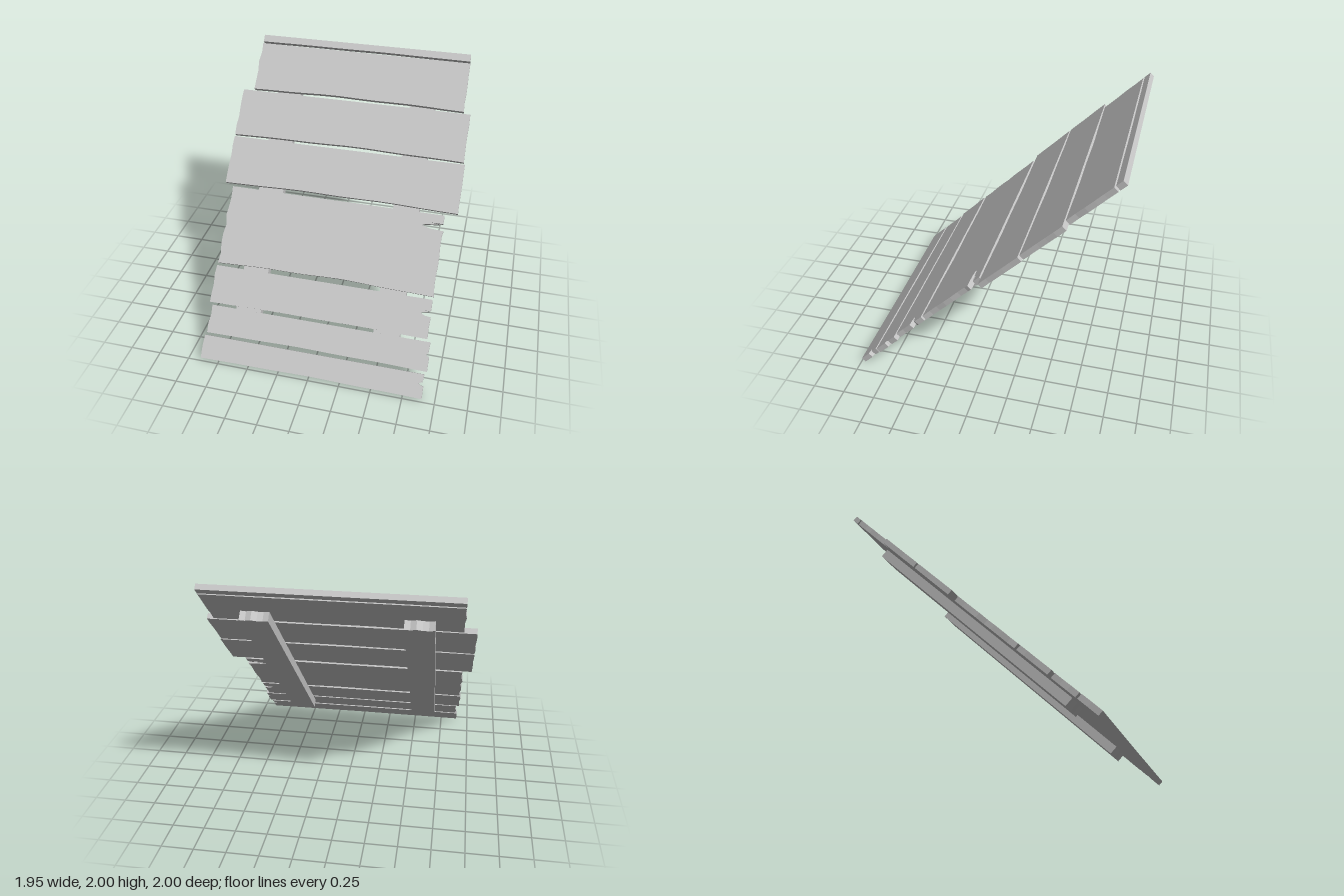
import * as THREE from 'three';

const wood = new THREE.MeshStandardMaterial({ color: 0xc4c4c4 });
wood.name = 'plain grey wood';

const THICK = 0.042;

// Height of a front-face point -> distance along the 45 degree slope
const along = (y) => Math.SQRT2 * (y - 1.015);

// Flat-sided slab from a counter-clockwise outline, occupying z0 .. z0 + depth
function slab(name, points, z0, depth) {
  const shape = new THREE.Shape(points.map(([x, y]) => new THREE.Vector2(x, y)));
  const geometry = new THREE.ExtrudeGeometry(shape, { depth, bevelEnabled: false });
  geometry.translate(0, 0, z0);
  const mesh = new THREE.Mesh(geometry, wood);
  mesh.name = name;
  return mesh;
}

// Plank with a hollowed, rippled lower edge, ragged ends and an optional split
// in its left (+x) end; bottom and top are heights of the front face
function plank(name, [x0, x1], [bottom, top], { rise = 0.01, rag = 0.004, split } = {}) {
  const outline = [];
  const height = top - bottom;

  // Lower edge
  const cuts = 12;
  for (let i = 0; i <= cuts; i++) {
    const f = i / cuts;
    const ripple = 0.25 * Math.sin(f * 15 + bottom * 9);
    outline.push([x0 + f * (x1 - x0), bottom + rise * Math.sin(f * Math.PI) * (1 + ripple)]);
  }

  // Ragged +x end, with the split cut in where it belongs
  const steps = Math.max(2, Math.round(height / 0.06));
  const ragged = (i) => rag * Math.sin(i * 2.3 + bottom * 5);
  let end = [];
  for (let i = 1; i < steps; i++) end.push([x1 - Math.abs(ragged(i)), bottom + (i / steps) * height]);
  if (split) {
    const { y, half, depth } = split;
    end = end.filter((p) => Math.abs(p[1] - y) > half * 1.3);
    end.push([x1, y - half], [x1 - depth * 0.65, y - half * 0.7], [x1 - depth, y - half * 0.1],
      [x1 - depth * 0.97, y + half * 0.3], [x1 - depth * 0.65, y + half], [x1 - depth * 0.2, y + half * 0.7], [x1 - 0.01, y + half]);
    end.sort((a, b) => a[1] - b[1]);
    // Order the split's mouth from its lower lip, round the tip, to its upper lip
  }
  outline.push(...end);

  // Straight upper edge, then the ragged -x end
  outline.push([x1 - rag, top], [x0, top]);
  for (let i = steps - 1; i > 0; i--) outline.push([x0 + ragged(i + 1), bottom + (i / steps) * height]);

  return slab(name, outline.map(([x, y]) => [x, along(y)]), -THICK / 2, THICK);
}

// Backing beam with unevenly sawn ends
function beam(name, x0) {
  const width = 0.21, half = 1.08, depth = 0.071, steps = 5;
  const lower = [], upper = [];
  for (let i = 0; i <= steps; i++) {
    const inset = 0.008 * (1 + Math.sin(i * 2.2));
    lower.push([x0 + (i / steps) * width, -half + inset]);
    upper.push([x0 + (1 - i / steps) * width, half - inset]);
  }
  return slab(name, [...lower, ...upper], -THICK / 2 - depth, depth);
}

export function createModel() {
  const group = new THREE.Group();
  group.name = 'plankPanel';

  // Everything is laid flat, then leaned back by 45 degrees
  const panel = new THREE.Group();
  panel.name = 'leaningPanel';
  panel.rotation.x = -Math.PI / 4;
  panel.position.y = 1;
  group.add(panel);

  // Planks, from the top of the slope down
  panel.add(
    plank('topPlank', [-0.885, 0.89], [1.957, 2], { rise: 0.003, rag: 0.001 }),
    plank('secondPlank', [-0.885, 0.898], [1.653, 1.946], { rag: 0.006 }),
    plank('thirdPlank', [-0.975, 0.956], [1.358, 1.641], { rag: 0.004 }),
    plank('fourthPlank', [-0.975, 0.97], [1.061, 1.346], { rag: 0.003 }),
    plank('widePlank', [-0.905, 0.877], [0.584, 1.042], {
      rise: 0.014, rag: 0.009, split: { y: 0.973, half: 0.02, depth: 0.17 },
    }),
    plank('sixthPlank', [-0.908, 0.877], [0.353, 0.568], {
      rise: 0.005, rag: 0.005, split: { y: 0.488, half: 0.016, depth: 0.077 },
    }),
    plank('seventhPlank', [-0.882, 0.91], [0.18, 0.339], {
      rise: 0.006, rag: 0.006, split: { y: 0.271, half: 0.012, depth: 0.022 },
    }),
    plank('bottomPlank', [-0.893, 0.899], [0.033, 0.164], {
      rise: 0.006, rag: 0.005, split: { y: 0.112, half: 0.012, depth: 0.039 },
    }),
  );

  // Backing beams
  panel.add(beam('leftBeam', 0.45), beam('rightBeam', -0.69));
  return group;
}
